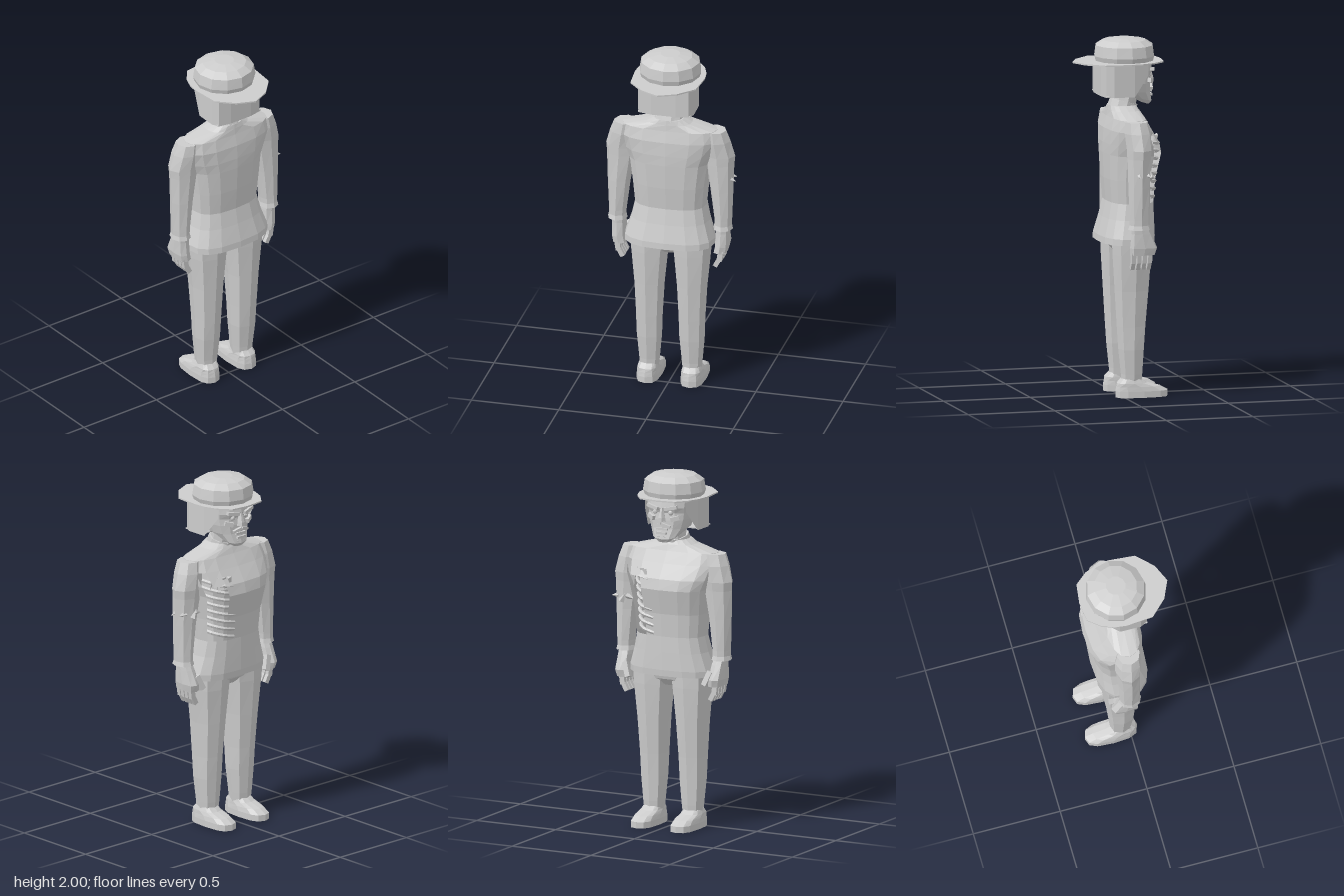
import * as THREE from 'three';

const grey = new THREE.MeshStandardMaterial({ color: 0xcccccc, flatShading: true, side: THREE.DoubleSide });
grey.name = 'plain grey';

// Each row is [y, centre x, centre z, half x, half z, tilt]; p below 1 squares the section.
function loft(rows, n = 8, p = 1, skip = () => false, capped = true) {
  const pow = v => Math.sign(v) * Math.abs(v) ** p;
  const rings = rows.map(([y, cx, cz, hx, hz, tilt = 0]) => Array.from({ length: n }, (_, i) => {
    const a = i / n * Math.PI * 2;
    const z = pow(Math.sin(a)) * hz;
    return [cx + pow(Math.cos(a)) * hx, y + tilt * z, cz + z];
  }));
  const pos = [];
  const tri = (...corners) => corners.forEach(c => pos.push(...c));
  for (let j = 0; j < rings.length - 1; j++) {
    for (let i = 0; i < n; i++) {
      if (skip(j, i)) continue;
      const k = (i + 1) % n, a = rings[j], b = rings[j + 1];
      tri(a[i], b[i], a[k]);
      tri(b[i], b[k], a[k]);
    }
  }
  if (capped) {
    const last = rows.length - 1;
    const low = [rows[0][1], rows[0][0], rows[0][2]], high = [rows[last][1], rows[last][0], rows[last][2]];
    for (let i = 0; i < n; i++) {
      const k = (i + 1) % n;
      tri(low, rings[0][i], rings[0][k]);
      tri(high, rings[last][k], rings[last][i]);
    }
  }
  const g = new THREE.BufferGeometry();
  g.setAttribute('position', new THREE.Float32BufferAttribute(pos, 3));
  g.computeVertexNormals();
  return g;
}

export function createModel() {
  const model = new THREE.Group();
  const add = (name, geometry, parent = model) => {
    const m = new THREE.Mesh(geometry, grey);
    m.name = name;
    parent.add(m);
    return m;
  };
  const box = (name, w, h, d, x, y, z, rx = 0, ry = 0, rz = 0) => {
    const m = add(name, new THREE.BoxGeometry(w, h, d));
    m.position.set(x, y, z);
    m.rotation.set(rx, ry, rz);
    return m;
  };
  const tube = (name, points, r, segments = 6) => add(name, new THREE.TubeGeometry(
    new THREE.CatmullRomCurve3(points.map(q => new THREE.Vector3(...q))), segments, r, 5));

  // Jacket, with a hole torn in one side of the chest
  add('jacket', loft([
    [0.865, 0, -0.037, 0.255, 0.152],
    [0.90, 0, -0.04, 0.255, 0.152],
    [1.00, 0, -0.053, 0.222, 0.138],
    [1.09, 0, -0.062, 0.203, 0.127],
    [1.22, 0, -0.062, 0.215, 0.138],
    [1.36, 0, -0.075, 0.235, 0.157],
    [1.42, 0, -0.068, 0.26, 0.15],
    [1.50, 0, -0.045, 0.28, 0.122],
    [1.565, 0, -0.035, 0.27, 0.095],
    [1.60, 0, -0.03, 0.13, 0.085],
    [1.625, 0, -0.025, 0.085, 0.075],
  ], 16, 0.75, (j, i) => (j >= 3 && j <= 5 && (i === 13 || i === 14)) || (j === 6 && i === 14)));

  // Rib cage behind the hole
  add('chestLining', loft([
    [1.04, 0, -0.06, 0.15, 0.09], [1.22, 0, -0.06, 0.16, 0.10],
    [1.38, 0, -0.065, 0.175, 0.11], [1.48, 0, -0.05, 0.18, 0.09],
  ], 12, 0.8));
  for (let i = 0; i < 8; i++) {
    const y = 1.12 + i * 0.043, w = 0.178 + i * 0.004, d = 0.178 + i * 0.003;
    tube('rib', [[w, y + 0.025, -0.06], [w * 0.92, y + 0.015, -0.13],
      [w * 0.65, y, -d], [0.05, y - 0.015, -d - 0.004]], 0.011);
  }
  for (let i = 0; i < 4; i++) {
    const rag = add('tornCloth', new THREE.ConeGeometry(0.016, 0.07, 3));
    rag.position.set(0.09 + i * 0.032, 1.43, -0.198 + i * 0.016);
    rag.rotation.z = Math.PI + 0.2 * (i - 1.5);
  }

  // Neck and collar
  add('neck', loft([[1.58, 0, -0.03, 0.075, 0.07], [1.72, 0, -0.06, 0.07, 0.07]], 8));
  add('collar', loft([
    [1.60, 0, -0.025, 0.088, 0.078, 0.25], [1.645, 0, -0.04, 0.08, 0.075, 0.3],
  ], 10));

  // Head and face, looking toward the back axis
  add('head', loft([
    [1.63, 0, -0.155, 0.04, 0.025, 0.3],
    [1.66, 0, -0.125, 0.075, 0.07, 0.25],
    [1.70, 0, -0.08, 0.105, 0.105],
    [1.75, 0, -0.07, 0.12, 0.115],
    [1.79, 0, -0.07, 0.125, 0.11],
    [1.82, 0, -0.07, 0.13, 0.125],
    [1.88, 0, -0.06, 0.135, 0.125],
  ], 12, 0.8));
  add('nose', loft([
    [1.745, 0, -0.185, 0.024, 0.028], [1.765, 0, -0.187, 0.02, 0.025], [1.82, 0, -0.182, 0.009, 0.014],
  ], 6));
  for (const s of [1, -1]) {
    box('brow', 0.075, 0.018, 0.03, s * 0.055, 1.822, -0.183, 0, s * -0.2, s * 0.2);
    box('cheekbone', 0.05, 0.025, 0.035, s * 0.07, 1.762, -0.165, 0, s * -0.5, s * 0.25);
    box('moustache', 0.055, 0.014, 0.02, s * 0.026, 1.722, -0.188, 0, s * -0.2, s * -0.3);
    const eye = add('eye', new THREE.SphereGeometry(0.015, 8, 6));
    eye.position.set(s * 0.048, 1.793, -0.172);
  }
  box('upperLip', 0.07, 0.012, 0.022, 0, 1.70, -0.182);
  box('lowerLip', 0.06, 0.012, 0.022, 0, 1.677, -0.186);
  box('chin', 0.05, 0.03, 0.03, 0, 1.648, -0.172, -0.3);

  // Cloth hanging from the cap around the sides and back of the head
  const flap = [[0.13, -0.145], [0.158, -0.06], [0.16, 0.06], [0.14, 0.10], [0.07, 0.113],
    [-0.07, 0.113], [-0.14, 0.10], [-0.16, 0.06], [-0.158, -0.06], [-0.13, -0.145]];
  const flapPos = [];
  for (let i = 0; i < flap.length - 1; i++) {
    const [[x0, z0], [x1, z1]] = [flap[i], flap[i + 1]];
    const low = z => (z < -0.1 ? 1.80 : 1.685);
    flapPos.push(x0, low(z0), z0, x0, 1.872, z0, x1, low(z1), z1,
      x0, 1.872, z0, x1, 1.872, z1, x1, low(z1), z1);
  }
  const flapGeometry = new THREE.BufferGeometry();
  flapGeometry.setAttribute('position', new THREE.Float32BufferAttribute(flapPos, 3));
  flapGeometry.computeVertexNormals();
  add('neckFlap', flapGeometry);
  box('flapUnderside', 0.30, 0.006, 0.14, 0, 1.69, 0.03);

  // Cap crown and thin brim
  add('capCrown', loft([
    [1.868, 0, -0.042, 0.165, 0.162], [1.90, 0, -0.042, 0.176, 0.171],
    [1.96, 0, -0.042, 0.166, 0.163], [1.988, 0, -0.042, 0.125, 0.12],
    [2.0, 0, -0.042, 0.055, 0.055],
  ], 12));
  const half = [[0, -0.252], [0.11, -0.238], [0.165, -0.17], [0.192, -0.10], [0.20, -0.03], [0.187, 0.12], [0.10, 0.21], [0, 0.255]];
  const outline = [...half, ...half.slice(1, -1).reverse().map(([x, z]) => [-x, z])];
  const brim = new THREE.ExtrudeGeometry(
    new THREE.Shape(outline.map(([x, z]) => new THREE.Vector2(x, z))), { depth: 0.008, bevelEnabled: false });
  brim.rotateX(Math.PI / 2);
  add('capBrim', brim).position.y = 1.874;

  for (const s of [1, -1]) {
    // Sleeve from cuff to shoulder
    add('sleeve', loft([
      [0.965, s * 0.302, -0.045, 0.056, 0.066],
      [0.99, s * 0.302, -0.045, 0.05, 0.058],
      [1.02, s * 0.302, -0.045, 0.051, 0.058],
      [1.20, s * 0.294, -0.045, 0.066, 0.062],
      [1.36, s * 0.282, -0.048, 0.083, 0.068],
      [1.41, s * 0.28, -0.05, 0.09, 0.072],
      [1.50, s * 0.265, -0.045, 0.08, 0.075],
      [1.563, s * 0.255, -0.04, 0.065, 0.065],
    ], 8));

    // Hand with curled fingers and thumb
    add('hand', loft([
      [0.82, s * 0.287, -0.065, 0.038, 0.072], [0.86, s * 0.295, -0.07, 0.038, 0.078],
      [0.94, s * 0.297, -0.055, 0.036, 0.055], [0.98, s * 0.30, -0.045, 0.033, 0.045],
    ], 8, 0.6));
    for (let i = 0; i < 4; i++) {
      const z = -0.012 - i * 0.031;
      box('finger', 0.03, 0.06, 0.024, s * 0.293, 0.805, z, 0, 0, s * -0.15);
      box('fingertip', 0.026, 0.05, 0.022, s * 0.276, 0.762, z, 0, 0, s * -0.5);
    }
    box('thumb', 0.03, 0.085, 0.03, s * 0.255, 0.865, -0.125, 0.25, 0, s * -0.35);

    // Trouser leg and shoe
    add('trouserLeg', loft([
      [0.07, s * 0.122, -0.048, 0.054, 0.058],
      [0.13, s * 0.122, -0.05, 0.06, 0.062],
      [0.27, s * 0.122, -0.047, 0.073, 0.074],
      [0.40, s * 0.122, -0.047, 0.077, 0.083],
      [0.60, s * 0.122, -0.05, 0.088, 0.098],
      [0.80, s * 0.122, -0.052, 0.108, 0.112],
      [0.89, s * 0.12, -0.052, 0.117, 0.115],
    ], 8, 0.8));
    add('shoe', loft([
      [0, s * 0.126, -0.105, 0.066, 0.15], [0.035, s * 0.126, -0.105, 0.066, 0.15],
      [0.06, s * 0.126, -0.085, 0.062, 0.125], [0.08, s * 0.126, -0.05, 0.058, 0.085],
      [0.105, s * 0.124, -0.045, 0.05, 0.055],
    ], 12, 0.7));
  }
  add('hips', loft([[0.80, 0, -0.05, 0.05, 0.06], [0.84, 0, -0.05, 0.16, 0.10], [0.90, 0, -0.05, 0.22, 0.12]], 10, 0.8));

  // Torn sleeve on the wounded arm
  for (const [x, z, r] of [[0.358, -0.03, -1.9], [0.35, -0.085, -1.7], [0.245, -0.10, 1.9], [0.285, -0.115, 0.5]]) {
    const rag = add('sleeveTear', new THREE.ConeGeometry(0.02, 0.05, 4));
    rag.position.set(x, 1.27, z);
    rag.rotation.z = r;
  }
  return model;
}
